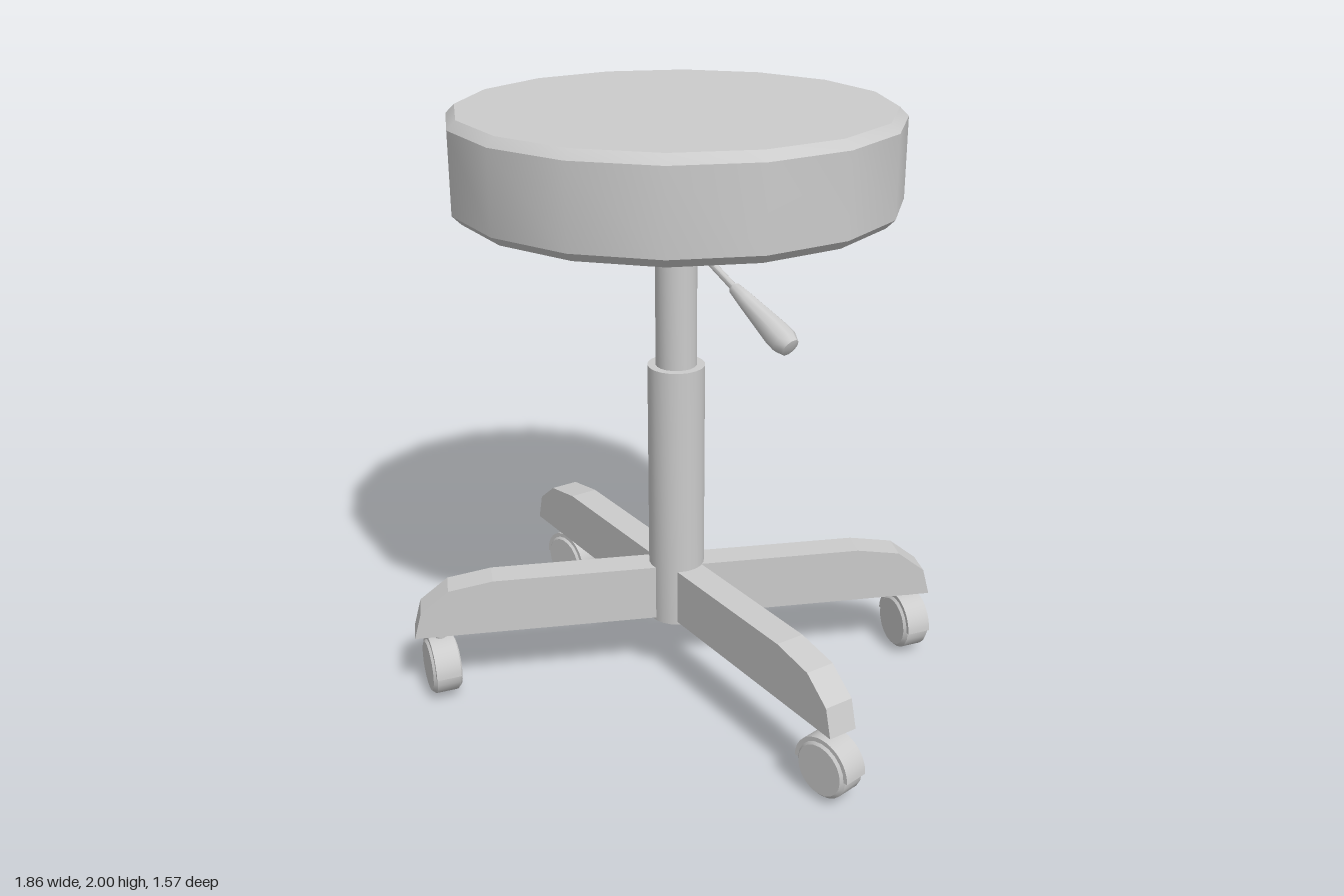
import * as THREE from 'three';
import { toCreasedNormals } from 'three/addons/utils/BufferGeometryUtils.js';

const CENTRE_X = -0.03;
const grey = new THREE.MeshStandardMaterial({ color: 0xcccccc });

function part(name, geometry, parent) {
  const mesh = new THREE.Mesh(geometry, grey);
  mesh.name = name;
  parent.add(mesh);
  return mesh;
}

// Turned part from [radius, height] points, listed bottom to top
function turned(points, sides, crease = 0.6) {
  const profile = points.map(([r, y]) => new THREE.Vector2(r, y));
  return toCreasedNormals(new THREE.LatheGeometry(profile, sides), crease);
}

// Leg: side profile extruded to its width, running outwards along +x
function legGeometry() {
  const shape = new THREE.Shape();
  [[0, 0.245], [0.905, 0.245], [0.88, 0.34], [0.785, 0.415], [0.635, 0.44], [0, 0.44]]
    .forEach(([x, y], i) => (i ? shape.lineTo(x, y) : shape.moveTo(x, y)));
  const geometry = new THREE.ExtrudeGeometry(shape, { depth: 0.1, bevelEnabled: false });
  return geometry.translate(0, 0, -0.05);
}

// Half-ring hood arching over a wheel
function hoodGeometry() {
  const shape = new THREE.Shape();
  shape.absarc(0, 0, 0.107, 0, Math.PI, false);
  shape.absarc(0, 0, 0.088, Math.PI, 0, true);
  const geometry = new THREE.ExtrudeGeometry(shape, { depth: 0.084, bevelEnabled: false, curveSegments: 10 });
  return toCreasedNormals(geometry.translate(0, 0, -0.042), 0.6);
}

export function createModel() {
  const stool = new THREE.Group();
  stool.name = 'stool';

  // Seat and telescopic column
  const body = new THREE.Group();
  body.name = 'body';
  body.position.x = CENTRE_X;
  stool.add(body);
  part('seat', turned([[0, 1.69], [0.68, 1.69], [0.708, 1.718], [0.708, 1.972], [0.68, 2], [0, 2]], 16), body);
  part('upperColumn', turned([[0, 1.1], [0.068, 1.1], [0.068, 1.7], [0, 1.7]], 20), body);
  part('lowerColumn', turned([[0, 0.235], [0.095, 0.235], [0.095, 1.16], [0, 1.16]], 20), body);

  // Height lever: thin rod widening into a rounded grip
  const lever = part('lever', turned([
    [0, 0], [0.012, 0], [0.012, 0.235], [0.02, 0.245], [0.027, 0.3],
    [0.043, 0.45], [0.043, 0.485], [0.032, 0.515], [0, 0.525]], 10, 0.9), body);
  lever.position.set(0.05, 1.597, 0);
  lever.rotation.z = -THREE.MathUtils.degToRad(119);

  // Four legs in a skewed cross
  const leg = legGeometry();
  for (const degrees of [9, 123, 189, 303]) {
    part('leg', leg, body).rotation.y = -THREE.MathUtils.degToRad(degrees);
  }

  // Casters: [x, axle height, z, swivel]
  const wheel = turned([[0, -0.05], [0.085, -0.05], [0.097, -0.038], [0.097, 0.038], [0.085, 0.05], [0, 0.05]], 20)
    .rotateX(Math.PI / 2);
  const hood = hoodGeometry();
  const swivel = -0.37;
  for (const [x, y, z, turn] of [
    [0.82, 0.115, 0.145, 0], [-0.795, 0.1, -0.15, 0],
    [-0.475, 0.113, 0.69, swivel], [0.42, 0.113, -0.71, swivel]]) {
    const caster = new THREE.Group();
    caster.name = 'caster';
    caster.position.set(x, y, z);
    caster.rotation.y = turn;
    stool.add(caster);
    part('wheel', wheel, caster);
    part('hood', hood, caster);
    const stem = part('stem', new THREE.CylinderGeometry(0.018, 0.018, 0.08, 10), caster);
    stem.position.y = 0.26 - 0.04 - y + 0.01;
  }
  return stool;
}
